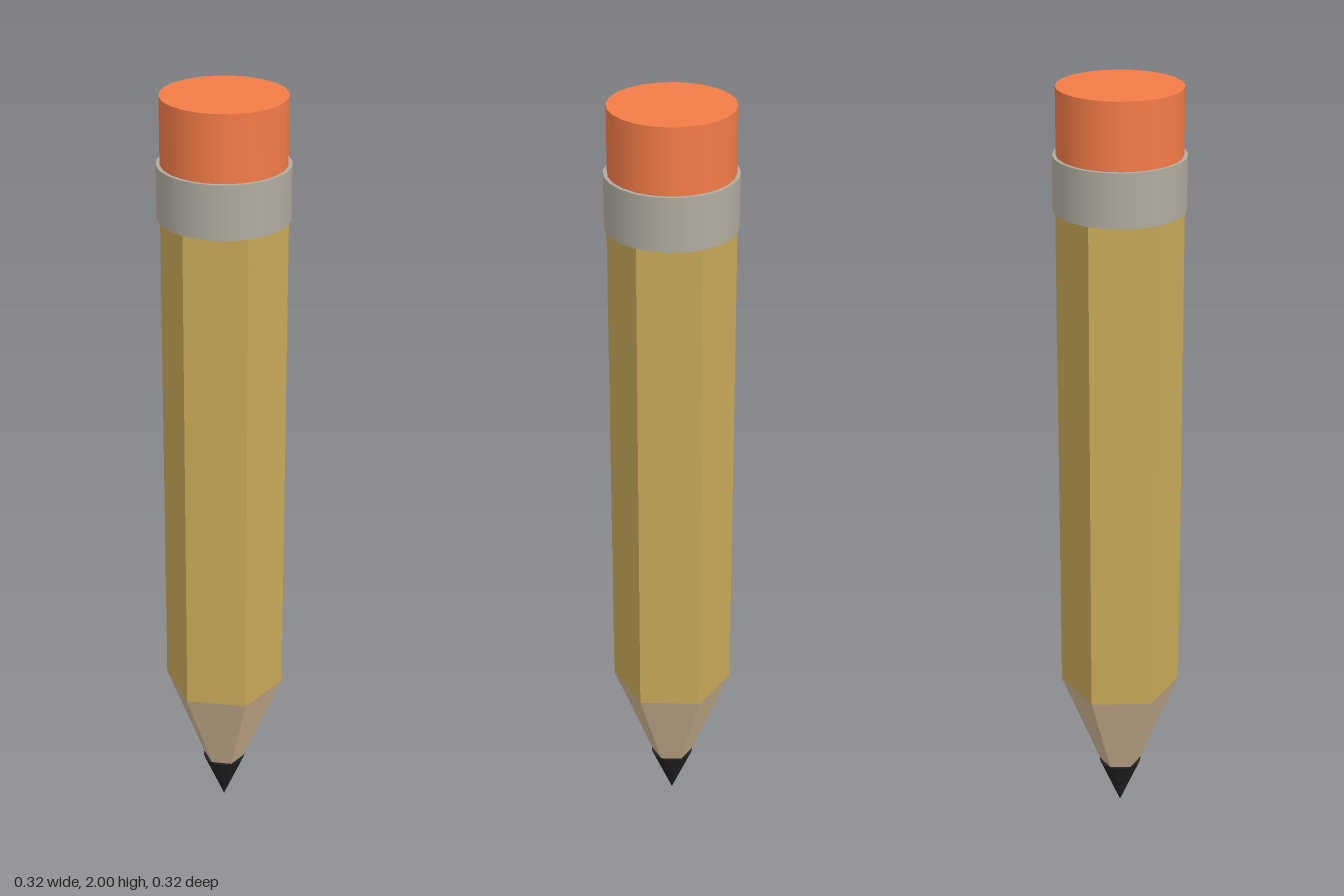
import * as THREE from 'three';

const ROUND = 24;
const HEX = 6;

// Upright cylinder or frustum spanning y0..y1
function section(name, color, rTop, rBottom, y0, y1, sides) {
  const geometry = new THREE.CylinderGeometry(rTop, rBottom, y1 - y0, sides);
  const material = new THREE.MeshStandardMaterial({ color, flatShading: sides === HEX });
  const mesh = new THREE.Mesh(geometry, material);
  mesh.name = name;
  mesh.position.y = (y0 + y1) / 2;
  return mesh;
}

export function createModel() {
  const pencil = new THREE.Group();
  pencil.name = 'pencil';
  pencil.add(
    // pointed graphite tip, slightly wider than the wood it caps
    section('leadTip', 0x222222, 0.056, 0, 0, 0.135, ROUND),
    // sharpened bare wood
    section('sharpenedWood', 0xcdb391, 0.156, 0.046, 0.115, 0.39, HEX),
    // painted hexagonal shaft, one corner facing front
    section('shaft', 0xc9a959, 0.156, 0.156, 0.39, 1.71, HEX),
    // metal band and eraser
    section('ferrule', 0xb0aca0, 0.162, 0.162, 1.7, 1.835, ROUND),
    section('eraser', 0xf47c48, 0.153, 0.153, 1.82, 2, ROUND),
  );
  return pencil;
}
